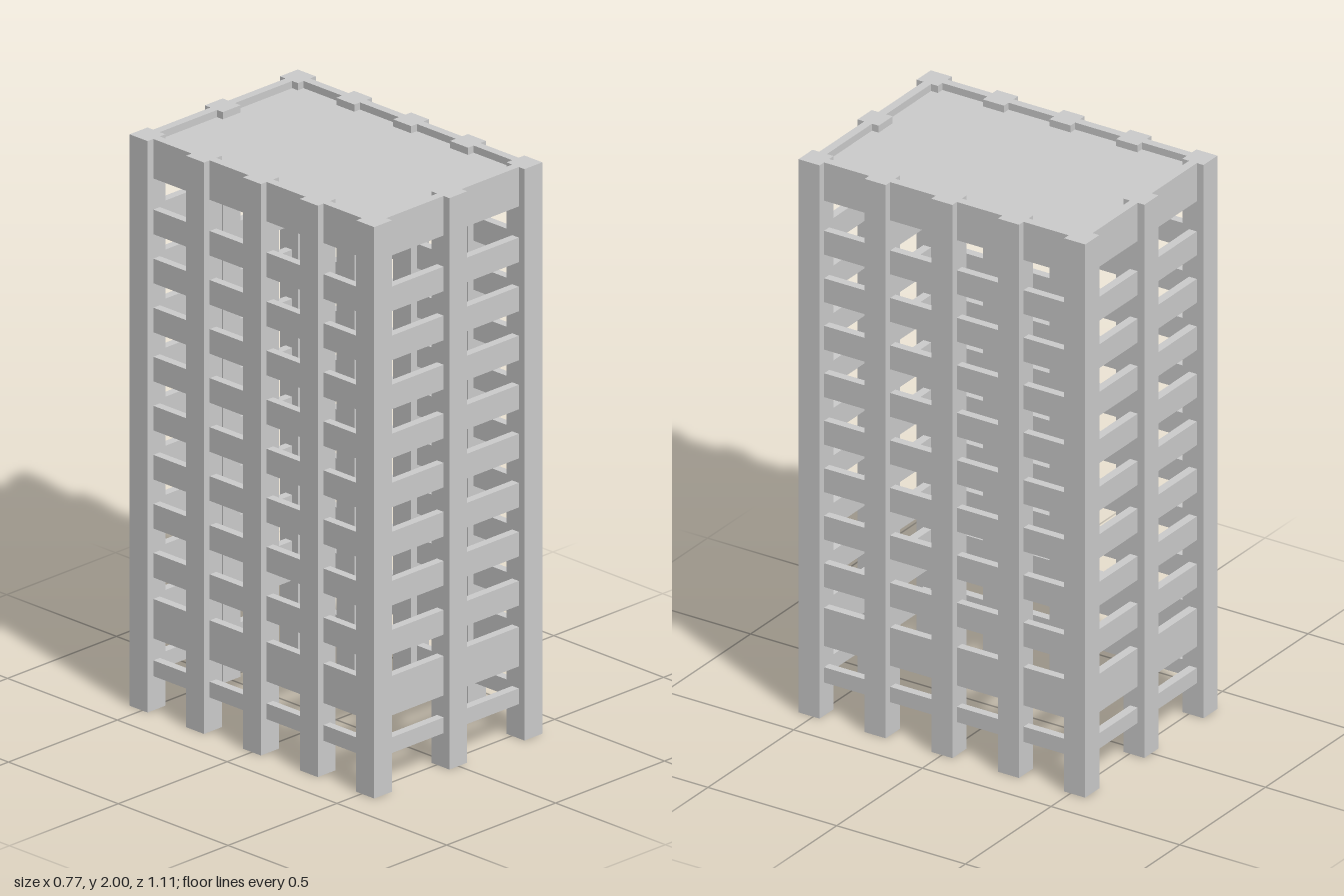
import * as THREE from 'three';

export function createModel() {
  const model = new THREE.Group();
  const material = new THREE.MeshStandardMaterial({ color: 0xcccccc, flatShading: true });

  // Box given by its centre in plan and its bottom and top heights
  function addBox(parent, name, x, z, width, depth, bottom, top) {
    const mesh = new THREE.Mesh(new THREE.BoxGeometry(width, top - bottom, depth), material);
    mesh.name = name;
    mesh.position.set(x, (bottom + top) / 2, z);
    parent.add(mesh);
  }

  // Columns around the perimeter: three across, five deep
  const columnSize = 0.082;
  const columnX = [-0.345, 0, 0.345];
  const columnZ = [-0.516, -0.259, 0, 0.259, 0.516];
  const columns = new THREE.Group();
  columns.name = 'columns';
  for (const x of columnX) {
    for (const z of columnZ) {
      if (x === 0 && Math.abs(z) < 0.5) continue;
      addBox(columns, 'column', x, z, columnSize, columnSize, 0, 2);
    }
  }
  model.add(columns);

  // Bottom and top of each ring of horizontal bands
  const levels = [['baseRail', 0.12, 0.175], ['lowerBand', 0.252, 0.39]];
  for (let i = 0; i < 8; i++) {
    const bottom = 0.465 + i * 0.1717;
    levels.push(['floorBand', bottom, bottom + 0.086]);
  }
  levels.push(['parapet', 1.862, 2]);

  // Each ring is made of short panels spanning between neighbouring columns
  const thickness = 0.03;
  for (const [name, bottom, top] of levels) {
    const ring = new THREE.Group();
    ring.name = name;
    for (const side of [-1, 1]) {
      for (let i = 0; i < columnX.length - 1; i++) {
        const span = columnX[i + 1] - columnX[i] - columnSize;
        addBox(ring, name + 'EndPanel', (columnX[i] + columnX[i + 1]) / 2, side * 0.516,
          span, thickness, bottom, top);
      }
      for (let i = 0; i < columnZ.length - 1; i++) {
        const span = columnZ[i + 1] - columnZ[i] - columnSize;
        addBox(ring, name + 'SidePanel', side * 0.345, (columnZ[i] + columnZ[i + 1]) / 2,
          thickness, span, bottom, top);
      }
    }
    model.add(ring);
  }

  // Roof slab set just below the parapet top
  addBox(model, 'roofSlab', 0, 0, 0.665, 1.007, 1.92, 1.975);

  return model;
}
